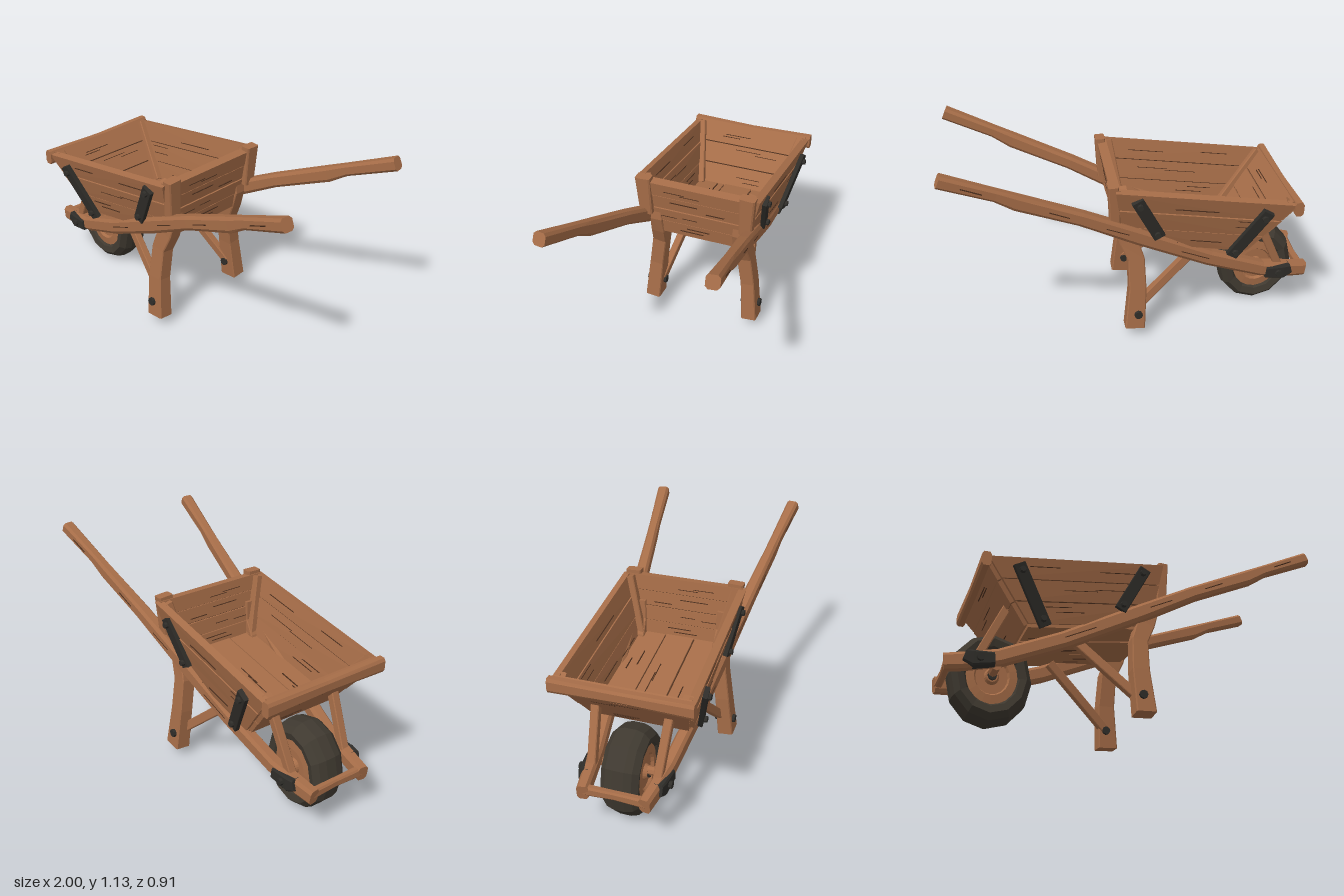
import * as THREE from 'three';
import { ConvexGeometry } from 'three/addons/geometries/ConvexGeometry.js';

const V = (x, y, z) => new THREE.Vector3(x, y, z);
const X = V(1, 0, 0), Y = V(0, 1, 0), Z = V(0, 0, 1);

const mat = (name, color) => {
  const m = new THREE.MeshStandardMaterial({ color });
  m.name = name;
  return m;
};

// Flat-faced copy of a geometry
function faceted(geo) {
  const g = geo.index ? geo.toNonIndexed() : geo;
  g.computeVertexNormals();
  return g;
}

// Chamfered beam through points [x, y, z, h, w]; h lies along ref, w across it
function beam(pts, ref, chamfer = 0.2) {
  const c = 0.5 - chamfer;
  const section = [[0.5, -c], [0.5, c], [c, 0.5], [-c, 0.5], [-0.5, c], [-0.5, -c], [-c, -0.5], [c, -0.5]];
  const centers = pts.map(p => V(p[0], p[1], p[2]));
  const last = pts.length - 1;
  const rings = pts.map((p, i) => {
    const T = centers[Math.min(i + 1, last)].clone().sub(centers[Math.max(i - 1, 0)]).normalize();
    const S = T.clone().cross(ref).normalize();
    const U = S.clone().cross(T);
    return section.map(([s, u]) =>
      centers[i].clone().addScaledVector(S, s * p[4]).addScaledVector(U, u * p[3]));
  });
  const out = [];
  const tri = (...v) => v.forEach(q => out.push(q.x, q.y, q.z));
  for (let i = 0; i < last; i++) for (let j = 0; j < 8; j++) {
    const k = (j + 1) % 8, a = rings[i], b = rings[i + 1];
    tri(a[j], b[j], b[k]);
    tri(a[j], b[k], a[k]);
  }
  for (let j = 1; j < 7; j++) {
    tri(rings[0][0], rings[0][j], rings[0][j + 1]);
    tri(rings[last][0], rings[last][j + 1], rings[last][j]);
  }
  const g = new THREE.BufferGeometry();
  g.setAttribute('position', new THREE.Float32BufferAttribute(out, 3));
  g.computeVertexNormals();
  return g;
}

// Board of thickness t around a four-cornered patch
function slab(q, t) {
  const n = q[2].clone().sub(q[0]).cross(q[3].clone().sub(q[1])).normalize();
  return new ConvexGeometry(q.flatMap(p =>
    [p.clone().addScaledVector(n, t / 2), p.clone().addScaledVector(n, -t / 2)]));
}

export function createModel() {
  const root = new THREE.Group();
  root.name = 'wheelbarrow';
  const wood = mat('wood', 0xa66d48);
  const crack = mat('woodCrack', 0x4a2e1d);
  const rubber = mat('tyreRubber', 0x3f3930);
  const iron = mat('iron', 0x2f2d29);

  const add = (name, geo, material, parent = root) => {
    const m = new THREE.Mesh(geo, material);
    m.name = name;
    parent.add(m);
    return m;
  };

  let seed = 7;
  const rnd = () => (seed = (seed * 16807) % 2147483647) / 2147483647;

  // Planked wall: dark core shows in the gaps, thin cracks run along the grain
  function wall(name, bl, br, tr, tl, n, t) {
    const g = new THREE.Group();
    g.name = name;
    root.add(g);
    const at = (u, v) => bl.clone().lerp(br, u).lerp(tl.clone().lerp(tr, u), v);
    const patch = (u0, u1, v0, v1) => [at(u0, v0), at(u1, v0), at(u1, v1), at(u0, v1)];
    add(name + 'Gaps', slab(patch(0.02, 0.98, 0.02, 0.98), t * 0.6), crack, g);
    for (let i = 0; i < n; i++) {
      const v0 = i / n + (i ? 0.008 : 0), v1 = (i + 1) / n - (i < n - 1 ? 0.008 : 0);
      add(name + 'Plank', slab(patch(0, 1, v0, v1), t + (i % 2) * 0.006), wood, g);
      for (let k = 0; k < 2; k++) {
        const u = 0.05 + rnd() * 0.6, v = v0 + (0.2 + 0.6 * rnd()) / n;
        add(name + 'Crack', slab(patch(u, u + 0.12 + rnd() * 0.15, v, v + 0.009), t + 0.01), crack, g);
      }
    }
  }

  // Tray
  const fb = s => V(-0.6, 0.485, s * 0.265), ft = s => V(-0.84, 0.79, s * 0.345);
  const bb = s => V(0.07, 0.59, s * 0.25), bt = s => V(0.12, 0.93, s * 0.335);
  wall('trayFloor', fb(1), bb(1), bb(-1), fb(-1), 3, 0.035);
  wall('trayFront', fb(1), fb(-1), ft(-1), ft(1), 3, 0.045);
  wall('trayBack', bb(1), bb(-1), bt(-1), bt(1), 4, 0.045);
  for (const s of [1, -1]) wall(s > 0 ? 'leftTraySide' : 'rightTraySide', fb(s), bb(s), bt(s), ft(s), 3, 0.04);

  // Rim strip along the front top edge
  add('frontRim', beam([[-0.85, 0.765, -0.37, 0.08, 0.05], [-0.845, 0.765, 0, 0.065, 0.05],
    [-0.85, 0.765, 0.37, 0.08, 0.05]], Y), wood);

  for (const s of [1, -1]) {
    const side = s > 0 ? 'left' : 'right';
    // Point on the outside of the tray at a given x along the rail line
    const railZ = x => s * (0.29 + 0.13 * x);

    // Long rail running from the wheel to the handle
    add(side + 'Rail', beam([
      [-0.99, 0.258, railZ(-0.99), 0.085, 0.06], [-0.9, 0.27, railZ(-0.9), 0.09, 0.065],
      [-0.72, 0.305, railZ(-0.72), 0.085, 0.07], [-0.4, 0.435, railZ(-0.4), 0.088, 0.07],
      [0, 0.635, railZ(0), 0.09, 0.07], [0.3, 0.79, railZ(0.3), 0.075, 0.07],
      [0.62, 0.93, railZ(0.62), 0.082, 0.06], [0.72, 0.985, railZ(0.72), 0.062, 0.058],
      [0.985, 1.1, railZ(0.99), 0.068, 0.068]], Y), wood);

    // Grain cracks on the rail's outer face
    for (const [x, y, len] of [[-0.4, 0.44, 0.16], [0.05, 0.665, 0.12], [0.36, 0.815, 0.1], [0.78, 1.01, 0.1]])
      add(side + 'RailCrack', beam([[x, y, railZ(x) + s * 0.033, 0.005, 0.008],
        [x + len, y + len * 0.46, railZ(x + len) + s * 0.033, 0.005, 0.008]], Y), crack);

    // Leg
    add(side + 'Leg', beam([
      [0.085, 0.79, s * 0.245, 0.05, 0.07], [0.085, 0.68, s * 0.24, 0.07, 0.07],
      [0.045, 0.59, s * 0.242, 0.1, 0.08], [0.005, 0.48, s * 0.255, 0.09, 0.08],
      [0, 0.3, s * 0.28, 0.095, 0.08], [0.018, 0.06, s * 0.302, 0.11, 0.088]], X, 0.06), wood);

    // Diagonal leg brace and its bolt
    add(side + 'LegBrace', beam([[0, 0.16, s * 0.265, 0.04, 0.05], [-0.36, 0.49, s * 0.19, 0.04, 0.05]], Z, 0.08), wood);
    const legBolt = add(side + 'LegBolt', faceted(new THREE.CylinderGeometry(0.023, 0.023, 0.115, 8)), iron);
    legBolt.rotation.x = Math.PI / 2;
    legBolt.position.set(0, 0.152, s * 0.294);

    // Struts from the rail up to the tray front
    add(side + 'FrontStrut', beam([[-0.83, 0.3, s * 0.175, 0.045, 0.045], [-0.69, 0.61, s * 0.195, 0.045, 0.045]], Z, 0.1), wood);

    // Corner posts
    add(side + 'BackPost', beam([[0.12, 0.72, s * 0.285, 0.055, 0.07],
      [0.13, 0.95, s * 0.295, 0.055, 0.085]], X, 0.1), wood);
    add(side + 'BackInnerPost', beam([[0.03, 0.6, s * 0.225, 0.05, 0.05],
      [0.085, 0.925, s * 0.305, 0.05, 0.05]], X, 0.1), wood);
    add(side + 'FrontInnerPost', beam([[-0.57, 0.5, s * 0.24, 0.05, 0.05],
      [-0.81, 0.79, s * 0.32, 0.05, 0.05]], Z, 0.1), wood);

    // Iron straps with bolts over the tray side
    for (const [x0, y0, z0, x1, y1, z1] of [
      [-0.685, 0.765, 0.372, -0.515, 0.47, 0.3], [0.012, 0.875, 0.355, -0.115, 0.63, 0.313]]) {
      add(side + 'Strap', beam([[x0, y0, s * z0, 0.026, 0.065], [x1, y1, s * z1, 0.026, 0.065]], Z, 0.06), iron);
      for (const f of [0.12, 0.9]) {
        const b = add(side + 'StrapBolt', faceted(new THREE.CylinderGeometry(0.016, 0.02, 0.04, 8)), iron);
        b.rotation.x = s * Math.PI / 2;
        b.position.set(x0 + (x1 - x0) * f, y0 + (y1 - y0) * f, s * (z0 + (z1 - z0) * f + 0.01));
      }
    }

    // Iron bracket wrapped over the rail at the axle
    add(side + 'AxleBracket', beam([[-0.895, 0.29, railZ(-0.89) + s * 0.02, 0.06, 0.055],
      [-0.85, 0.277, railZ(-0.85) + s * 0.02, 0.085, 0.06],
      [-0.745, 0.287, railZ(-0.75) + s * 0.018, 0.065, 0.055]], Y, 0.12), iron);
    const pin = add(side + 'BracketBolt', faceted(new THREE.CylinderGeometry(0.02, 0.02, 0.03, 8)), iron);
    pin.rotation.x = Math.PI / 2;
    pin.position.set(-0.82, 0.28, railZ(-0.82) + s * 0.05);
  }

  // Crossbar and axle
  add('frontCrossbar', beam([[-0.97, 0.265, -0.18, 0.055, 0.04], [-0.965, 0.265, 0, 0.045, 0.035],
    [-0.97, 0.265, 0.18, 0.055, 0.04]], Y), wood);
  const axle = add('axle', faceted(new THREE.CylinderGeometry(0.025, 0.025, 0.38, 8)), wood);
  axle.rotation.x = Math.PI / 2;
  axle.position.set(-0.73, 0.265, 0);

  // Wheel, slightly taller than wide
  const wheel = new THREE.Group();
  wheel.name = 'wheel';
  wheel.position.set(-0.73, 0.252, 0);
  wheel.scale.set(0.88, 1, 1);
  root.add(wheel);
  const tyre = [[0.14, -0.06], [0.165, -0.092], [0.205, -0.1], [0.236, -0.07], [0.249, -0.03],
    [0.249, 0.03], [0.236, 0.07], [0.205, 0.1], [0.165, 0.092], [0.14, 0.06]];
  add('tyre', faceted(new THREE.LatheGeometry(tyre.map(p => new THREE.Vector2(...p)), 12).rotateX(Math.PI / 2)), rubber, wheel);
  const hub = [[0, -0.09], [0.035, -0.09], [0.045, -0.07], [0.095, -0.07], [0.105, -0.085], [0.152, -0.08],
    [0.152, 0.08], [0.105, 0.085], [0.095, 0.07], [0.045, 0.07], [0.035, 0.09], [0, 0.09]];
  add('wheelDisc', faceted(new THREE.LatheGeometry(hub.map(p => new THREE.Vector2(...p)), 20).rotateX(Math.PI / 2)), wood, wheel);
  add('hubBolt', faceted(new THREE.CylinderGeometry(0.028, 0.028, 0.2, 8).rotateX(Math.PI / 2)), iron, wheel);

  return root;
}
